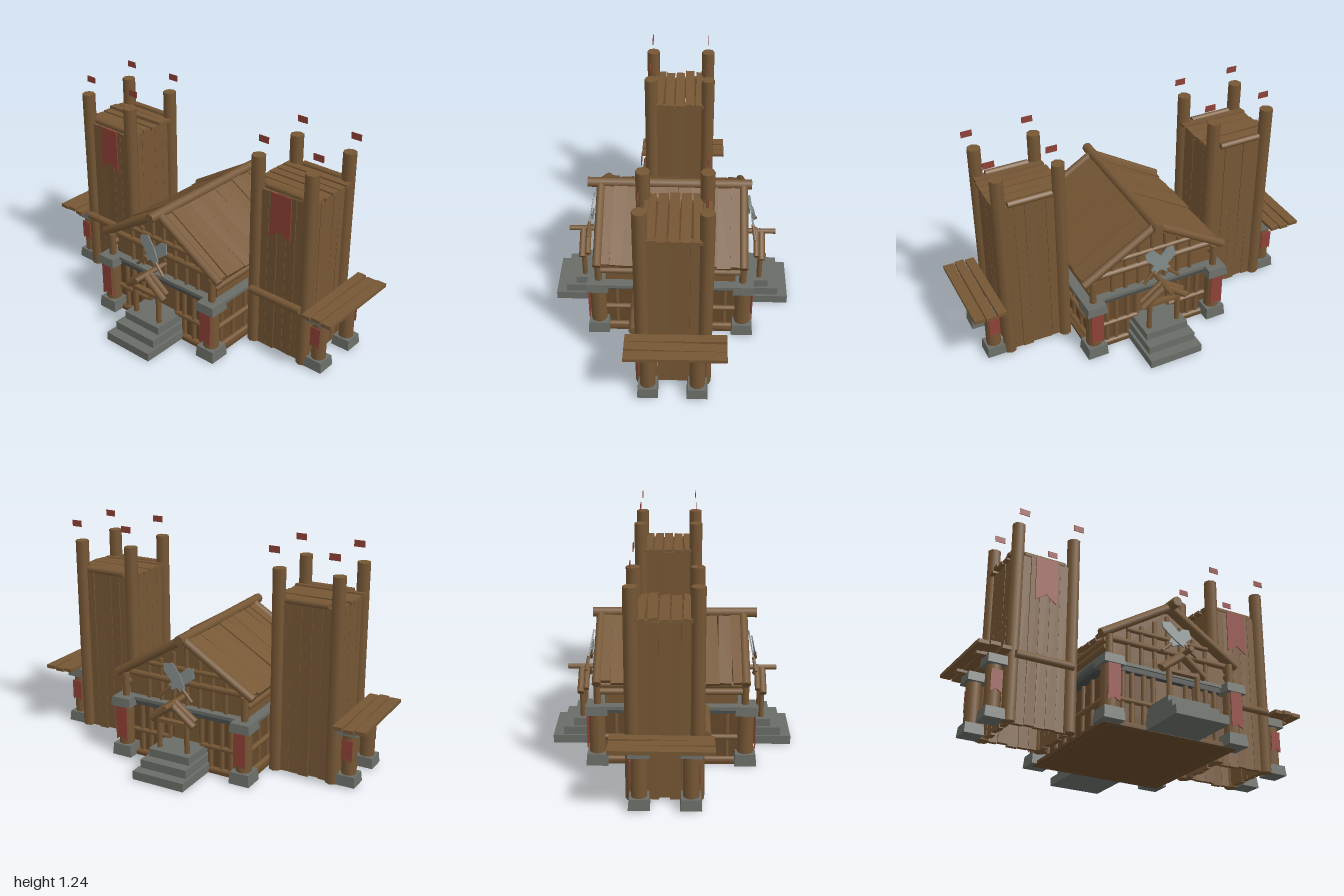
import * as THREE from 'three';

const mat = (name, color) => Object.assign(new THREE.MeshStandardMaterial({ color }), { name });
const wood = mat('wood', 0x765735);
const darkWood = mat('darkWood', 0x66492b);
const stone = mat('stone', 0x6a6d67);
const darkStone = mat('darkStone', 0x484d4b);
const steel = mat('steel', 0x7b8383);
const red = mat('redCloth', 0x8f4238);
red.side = THREE.DoubleSide;

// Small seeded jitter for hand-cut timber
let seed = 7;
const jitter = (a) => {
  seed = (seed * 16807) % 2147483647;
  return (seed / 2147483647 - 0.5) * 2 * a;
};

function add(parent, name, geo, m, x = 0, y = 0, z = 0) {
  const mesh = new THREE.Mesh(geo, m);
  mesh.name = name;
  mesh.position.set(x, y, z);
  parent.add(mesh);
  return mesh;
}

// Box given by its extents on each axis
function box(parent, name, m, [x0, x1], [y0, y1], [z0, z1]) {
  return add(parent, name, new THREE.BoxGeometry(Math.abs(x1 - x0), y1 - y0, Math.abs(z1 - z0)), m,
    (x0 + x1) / 2, (y0 + y1) / 2, (z0 + z1) / 2);
}

// Round timber between two points
function log(parent, name, a, b, r, m = wood, sides = 8) {
  const p = new THREE.Vector3(...a), q = new THREE.Vector3(...b);
  const d = q.clone().sub(p);
  const mesh = add(parent, name, new THREE.CylinderGeometry(r, r, d.length(), sides), m);
  mesh.position.copy(p.add(q).multiplyScalar(0.5));
  mesh.quaternion.setFromUnitVectors(new THREE.Vector3(0, 1, 0), d.normalize());
  return mesh;
}

// Swallow-tailed cloth, hung from its top edge
function banner(parent, x, top, z, w, h, notch) {
  const s = new THREE.Shape([[-w / 2, 0], [-w / 2, -h], [0, -h + notch], [w / 2, -h], [w / 2, 0]]
    .map((p) => new THREE.Vector2(...p)));
  add(parent, 'banner', new THREE.ExtrudeGeometry(s, { depth: 0.006, bevelEnabled: false }), red, x, top, z);
}

// Timber column with stone base and cap
function pillar(parent, x, z, w, bottom) {
  const g = new THREE.Group();
  g.name = 'pillar';
  g.position.set(x, 0, z);
  parent.add(g);
  const block = (name, y0, y1, h) => {
    const geo = new THREE.CylinderGeometry(h * 1.28, h * 1.414, y1 - y0, 4);
    geo.rotateY(Math.PI / 4);
    const flat = geo.toNonIndexed();
    flat.computeVertexNormals();
    add(g, name, flat, stone, 0, (y0 + y1) / 2, 0);
  };
  block('pillarBase', bottom, 0.07, w / 2);
  log(g, 'pillarShaft', [0, 0.06, 0], [0, 0.31, 0], w * 0.37, wood, 10);
  block('pillarCap', 0.3, 0.35, w / 2);
}

// Crossed cleavers over the door
function crossedBlades(parent) {
  const g = new THREE.Group();
  g.name = 'crossedBlades';
  g.position.set(0, 0.52, 0.452);
  g.rotation.x = -0.19;
  const s = new THREE.Shape([[-0.016, -0.06], [0.016, -0.06], [0.04, 0.02], [0.045, 0.09], [0, 0.12],
    [-0.024, 0.09], [-0.024, 0]].map((p) => new THREE.Vector2(...p)));
  for (const k of [-1, 1]) {
    const blade = new THREE.Group();
    blade.name = 'cleaver';
    add(blade, 'blade', new THREE.ExtrudeGeometry(s, { depth: 0.008, bevelEnabled: false }), steel);
    log(blade, 'bladeHandle', [0, -0.14, 0.004], [0, -0.05, 0.004], 0.009, wood, 6);
    blade.rotation.z = k * 0.82;
    blade.position.z = k * 0.006;
    g.add(blade);
  }
  parent.add(g);
}

// One gable end of the hall, with porch and steps
function facade() {
  const g = new THREE.Group();
  g.name = 'facade';
  [[0.155, 0.67, 0.005, 0.053], [0.14, 0.613, 0.05, 0.1], [0.125, 0.555, 0.097, 0.145]].forEach(([x, z, y0, y1]) =>
    box(g, 'step', stone, [-x, x], [y0, y1], [0.34, z]));
  box(g, 'door', wood, [-0.08, 0.08], [0.14, 0.3], [0.34, 0.365]);
  const gable = new THREE.Shape([[-0.37, 0], [0.37, 0], [0.37, 0.14], [0, 0.37], [-0.37, 0.14]]
    .map((p) => new THREE.Vector2(...p)));
  add(g, 'gableWall', new THREE.ExtrudeGeometry(gable, { depth: 0.02, bevelEnabled: false }), wood, 0, 0.35, 0.335);
  log(g, 'gableBeam', [-0.38, 0.48, 0.365], [0.38, 0.48, 0.365], 0.018);
  log(g, 'gableBeam', [-0.25, 0.555, 0.365], [0.25, 0.555, 0.365], 0.014);
  for (const x of [0, 0.08, 0.16, 0.24]) for (const k of [-1, 1]) {
    log(g, 'gablePost', [k * x, 0.35, 0.36], [k * x, 0.69 - x * 0.62, 0.36], 0.012, wood, 6);
  }
  for (const k of [-1, 1]) {
    for (const x of [0.1, 0.155, 0.225, 0.28]) {
      log(g, 'wallPost', [k * x, 0.01, 0.375], [k * x, 0.32, 0.375], 0.014, wood, 6);
    }
    log(g, 'lowRail', [k * 0.1, 0.018, 0.38], [k * 0.37, 0.018, 0.38], 0.016);
    log(g, 'middleRail', [k * 0.1, 0.15, 0.38], [k * 0.37, 0.15, 0.38], 0.015);
    log(g, 'cornerPost', [k * 0.37, 0.35, 0.395], [k * 0.37, 0.48, 0.395], 0.02);
    log(g, 'rafter', [k * 0.42, 0.478, 0.395], [0, 0.735, 0.395], 0.024);
    pillar(g, k * 0.37, 0.4, 0.12, 0.004);
    banner(g, k * 0.37, 0.325, 0.447, 0.07, 0.225, 0.02);
    // Porch
    log(g, 'porchPost', [k * 0.085, 0.14, 0.505], [k * 0.085, 0.33, 0.505], 0.015);
    log(g, 'porchRafter', [k * 0.13, 0.305, 0.51], [0, 0.405, 0.51], 0.02);
    log(g, 'porchRafter', [k * 0.125, 0.325, 0.48], [0, 0.415, 0.48], 0.016);
  }
  log(g, 'porchRidge', [0, 0.412, 0.33], [0, 0.412, 0.59], 0.015);
  box(g, 'porchTie', wood, [-0.09, 0.09], [0.295, 0.315], [0.49, 0.52]);
  crossedBlades(g);
  return g;
}

function hall() {
  const g = new THREE.Group();
  g.name = 'hall';
  box(g, 'floor', darkWood, [-0.4, 0.4], [0.003, 0.02], [-0.4, 0.4]);
  box(g, 'lowerWall', darkWood, [-0.35, 0.35], [0.02, 0.31], [-0.36, 0.36]);
  box(g, 'stoneBandUnder', darkStone, [-0.4, 0.4], [0.305, 0.332], [-0.39, 0.39]);
  box(g, 'stoneBand', stone, [-0.425, 0.425], [0.332, 0.35], [-0.4, 0.4]);
  for (const k of [-1, 1]) {
    box(g, 'upperWall', wood, [k * 0.34, k * 0.37], [0.35, 0.5], [-0.35, 0.35]);
    for (const [y, r] of [[0.018, 0.016], [0.15, 0.015], [0.42, 0.018], [0.46, 0.018]]) {
      const x = k * (y > 0.3 ? 0.375 : 0.365);
      log(g, 'sideRail', [x, y, -0.38], [x, y, 0.38], r);
    }
    for (let i = 0; i < 7; i++) {
      const z = -0.3 + i * 0.1;
      log(g, 'sidePost', [k * 0.355, 0.02, z], [k * 0.355, 0.31, z], 0.012, wood, 6);
    }
    // Roof planks from ridge to eave
    for (let i = 0; i < 11; i++) {
      const plank = add(g, 'roofPlank', new THREE.BoxGeometry(0.475 + jitter(0.012), 0.02, 0.073), wood,
        k * 0.207, 0.603 + jitter(0.006), -0.36 + i * 0.072);
      plank.rotation.set(jitter(0.06), jitter(0.015), -k * 0.552);
    }
  }
  log(g, 'ridgeBeam', [0, 0.738, -0.44], [0, 0.738, 0.47], 0.028);
  g.add(facade());
  const back = facade();
  back.rotation.y = Math.PI;
  g.add(back);
  return g;
}

function tower(k) {
  const g = new THREE.Group();
  g.name = 'tower';
  const xs = [0.455, 0.785], zs = [-0.19, 0.135];
  for (const x of xs) for (const z of zs) {
    log(g, 'towerPost', [k * x, 0.012, z], [k * x, 1.135, z], 0.037);
    const fx = k * x + 0.03;
    box(g, 'flag', red, [fx - 0.03, fx + 0.03], [1.21, 1.245], [z - 0.002, z + 0.002]);
  }
  // Plank walls on four sides
  const plank = (x, z, w, d) => {
    const p = add(g, 'wallPlank', new THREE.BoxGeometry(w, 0.95, d), wood, k * x, 0.487 + jitter(0.006), z);
    p.rotation.set(w > d ? jitter(0.004) : 0, jitter(0.05), w > d ? 0 : jitter(0.004));
  };
  for (let i = 0; i < 5; i++) {
    for (const z of [-0.185, 0.13]) plank(0.505 + i * 0.0575, z, 0.056, 0.026);
    for (const x of [0.46, 0.78]) plank(x, -0.138 + i * 0.055, 0.026, 0.054);
  }
  // Roof deck and edge logs
  for (let i = 0; i < 5; i++) {
    const p = add(g, 'deckPlank', new THREE.BoxGeometry(0.39 + jitter(0.012), 0.018, 0.05), wood,
      k * 0.62, 0.973 + jitter(0.006), -0.145 + i * 0.0585);
    p.rotation.set(jitter(0.1), jitter(0.02), 0);
  }
  for (const z of [-0.2, 0.12]) log(g, 'deckLog', [k * 0.5, 0.975, z], [k * 0.74, 0.975, z], 0.018);
  log(g, 'frontLog', [k * 0.46, 0.362, 0.182], [k * 0.785, 0.362, 0.182], 0.022);
  banner(g, k * 0.617, 0.965, 0.148, 0.125, 0.255, 0.045);
  // Side platform on two pillars
  [[0.822, 0.872], [0.882, 0.935], [0.942, 1]].forEach(([a, b], i) => {
    const p = box(g, 'platformPlank', wood, [k * a, k * b], [0.36, 0.38], [-0.303, 0.22]);
    p.rotation.x = [0.012, -0.012, 0.008][i];
  });
  for (const z of [0.105, -0.155]) {
    pillar(g, k * 0.865, z, 0.11, 0.012);
    box(g, 'platformBeam', wood, [k * 0.82, k * 0.97], [0.345, 0.362], [z - 0.02, z + 0.02]);
  }
  banner(g, k * 0.865, 0.27, 0.144, 0.06, 0.12, 0.018);
  banner(g, k * 0.865, 0.27, -0.2, 0.06, 0.12, 0.018);
  return g;
}

export function createModel() {
  const model = new THREE.Group();
  model.name = 'timberFort';
  model.add(hall(), tower(1), tower(-1));
  return model;
}
